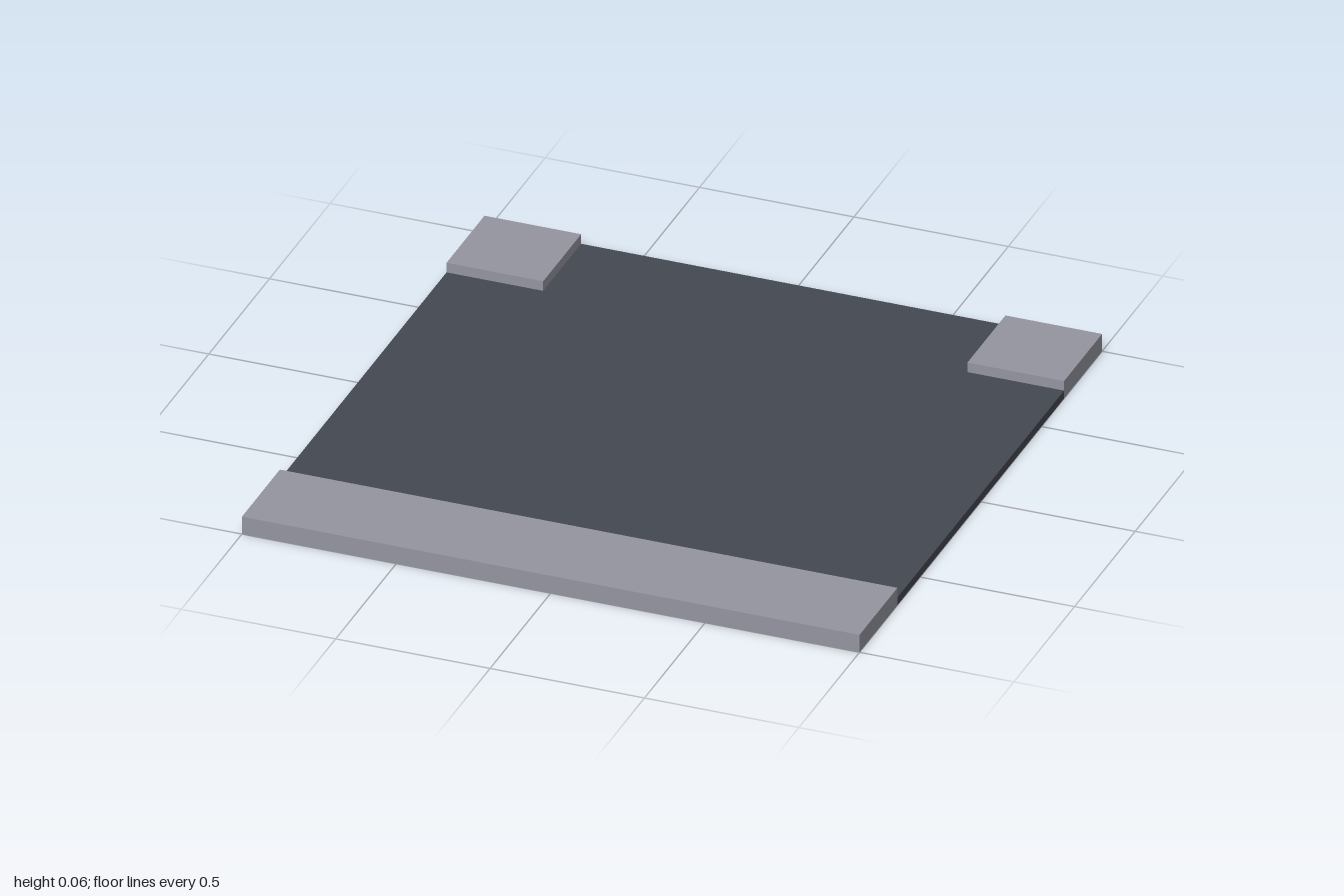
import * as THREE from 'three';

const EDGE = 0.687;        // inner edge of the pavements
const KERB_HEIGHT = 0.06;
const ROAD_HEIGHT = 0.027;

export function createModel() {
  const model = new THREE.Group();
  model.name = 'roadJunction';

  const pavement = new THREE.MeshStandardMaterial({ color: 0x9495a0 });
  pavement.name = 'pavement grey';
  const asphalt = new THREE.MeshStandardMaterial({ color: 0x444851 });
  asphalt.name = 'asphalt dark grey';

  // Block standing on the ground between two corners in x and z
  function slab(name, material, x0, x1, z0, z1, height) {
    const mesh = new THREE.Mesh(new THREE.BoxGeometry(x1 - x0, height, z1 - z0), material);
    mesh.position.set((x0 + x1) / 2, height / 2, (z0 + z1) / 2);
    mesh.name = name;
    model.add(mesh);
  }

  // T-shaped road surface, drawn with shape y pointing to the back
  const outline = [
    [-1, -EDGE], [1, -EDGE], [1, EDGE], [EDGE, EDGE],
    [EDGE, 1], [-EDGE, 1], [-EDGE, EDGE], [-1, EDGE],
  ];
  const shape = new THREE.Shape(outline.map(([x, y]) => new THREE.Vector2(x, y)));
  const roadGeometry = new THREE.ExtrudeGeometry(shape, { depth: ROAD_HEIGHT, bevelEnabled: false });
  roadGeometry.rotateX(-Math.PI / 2);
  const road = new THREE.Mesh(roadGeometry, asphalt);
  road.name = 'roadSurface';
  model.add(road);

  // Straight pavement along the front, and one square at each back corner
  slab('frontPavement', pavement, -1, 1, EDGE, 1, KERB_HEIGHT);
  slab('backLeftPavement', pavement, EDGE, 1, -1, -EDGE, KERB_HEIGHT);
  slab('backRightPavement', pavement, -1, -EDGE, -1, -EDGE, KERB_HEIGHT);

  return model;
}
